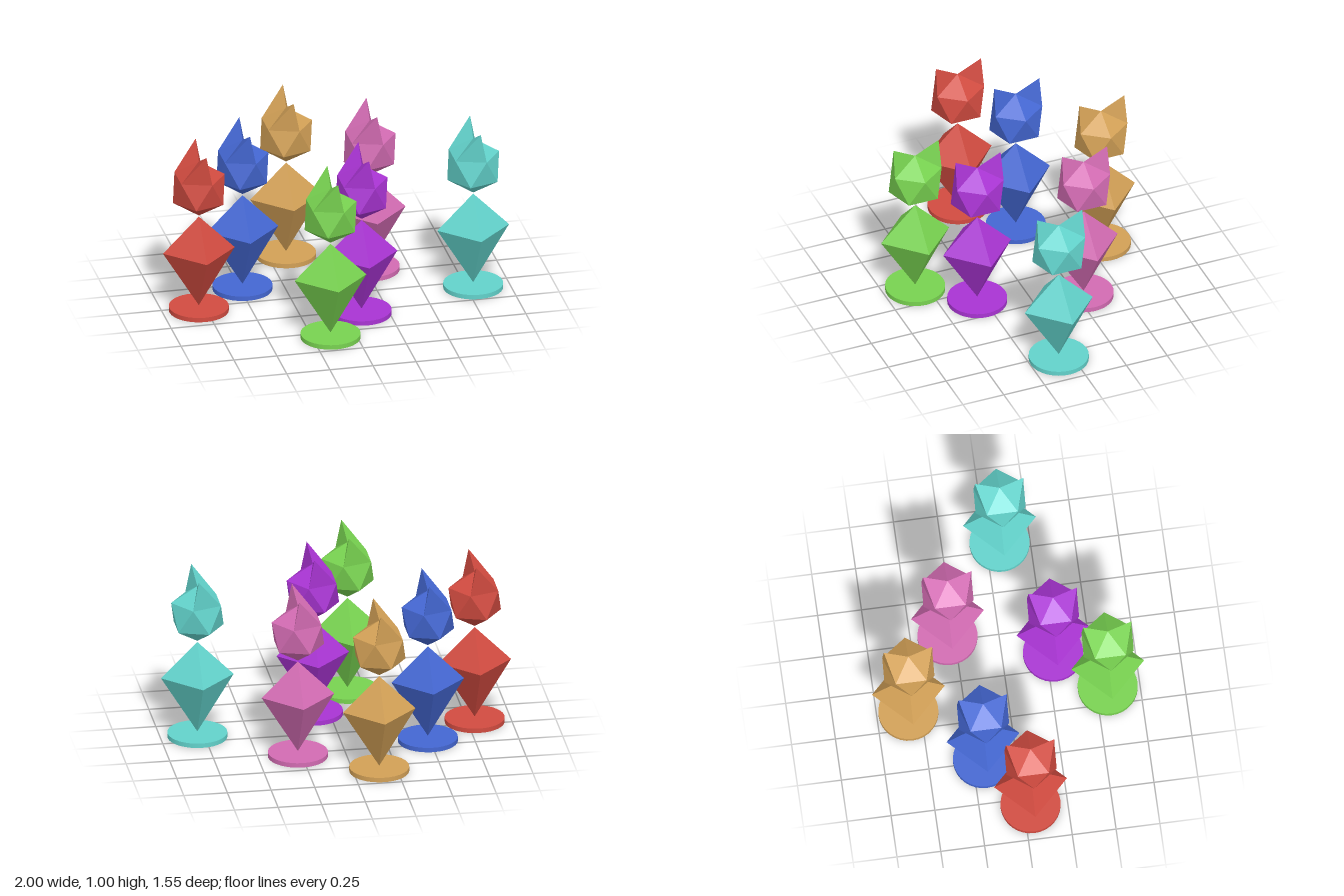
import * as THREE from 'three';
import { ConvexGeometry } from 'three/addons/geometries/ConvexGeometry.js';

const V = (x, y, z) => new THREE.Vector3(x, y, z);

// Five points of a horizontal pentagon, first one at the given angle
function ring(radius, y, startDeg) {
  return Array.from({ length: 5 }, (_, i) => {
    const a = THREE.MathUtils.degToRad(startDeg + i * 72);
    return V(radius * Math.cos(a), y, radius * Math.sin(a));
  });
}

// Shared geometry for every piece
function pieceGeometries() {
  // Double pyramid standing on its long point
  const R = 0.208, mid = 0.37;
  const body = new ConvexGeometry([
    V(0, 0.03, 0), V(0, 0.58, 0),
    V(R, mid, 0), V(-R, mid, 0), V(0, mid, R), V(0, mid, -R),
  ]);

  // Icosahedral head standing on a vertex
  const r = 0.168, cy = 0.755;
  const h = r / Math.sqrt(5);
  const upper = ring(2 * h, cy + h, 0);
  const lower = ring(2 * h, cy - h, 36);
  const crown = V(0, cy + r, 0);
  const head = new ConvexGeometry([crown, V(0, cy - r, 0), ...upper, ...lower]);

  // Pointed ears raised on two of the upper faces
  const leftEar = new ConvexGeometry([crown, upper[1], upper[2], V(0.013, 1.003, 0.138)]);
  const rightEar = new ConvexGeometry([crown, upper[4], upper[3], V(0.013, 1.003, -0.138)]);

  // Round foot plate
  const base = new THREE.CylinderGeometry(0.17, 0.17, 0.027, 32).translate(0, 0.0135, 0);

  return { base, body, head, leftEar, rightEar };
}

export function createModel() {
  const model = new THREE.Group();
  model.name = 'pieceSet';
  const parts = pieceGeometries();

  // Name, colour, x, z
  const pieces = [
    ['redPiece', 0xd14b40, -0.792, 0.04],
    ['bluePiece', 0x4467d2, -0.487, -0.19],
    ['greenPiece', 0x78d250, -0.148, 0.567],
    ['purplePiece', 0xa934d3, 0.095, 0.288],
    ['goldPiece', 0xd2a056, -0.148, -0.57],
    ['pinkPiece', 0xd26bb2, 0.273, -0.29],
    ['cyanPiece', 0x62d2cb, 0.79, 0.077],
  ];

  for (const [name, color, x, z] of pieces) {
    const piece = new THREE.Group();
    piece.name = name;
    const flat = new THREE.MeshStandardMaterial({ color, flatShading: true });
    const smooth = new THREE.MeshStandardMaterial({ color });
    for (const [part, geometry] of Object.entries(parts)) {
      const mesh = new THREE.Mesh(geometry, part === 'base' ? smooth : flat);
      mesh.name = part;
      piece.add(mesh);
    }
    piece.position.set(x, 0, z);
    model.add(piece);
  }
  return model;
}
